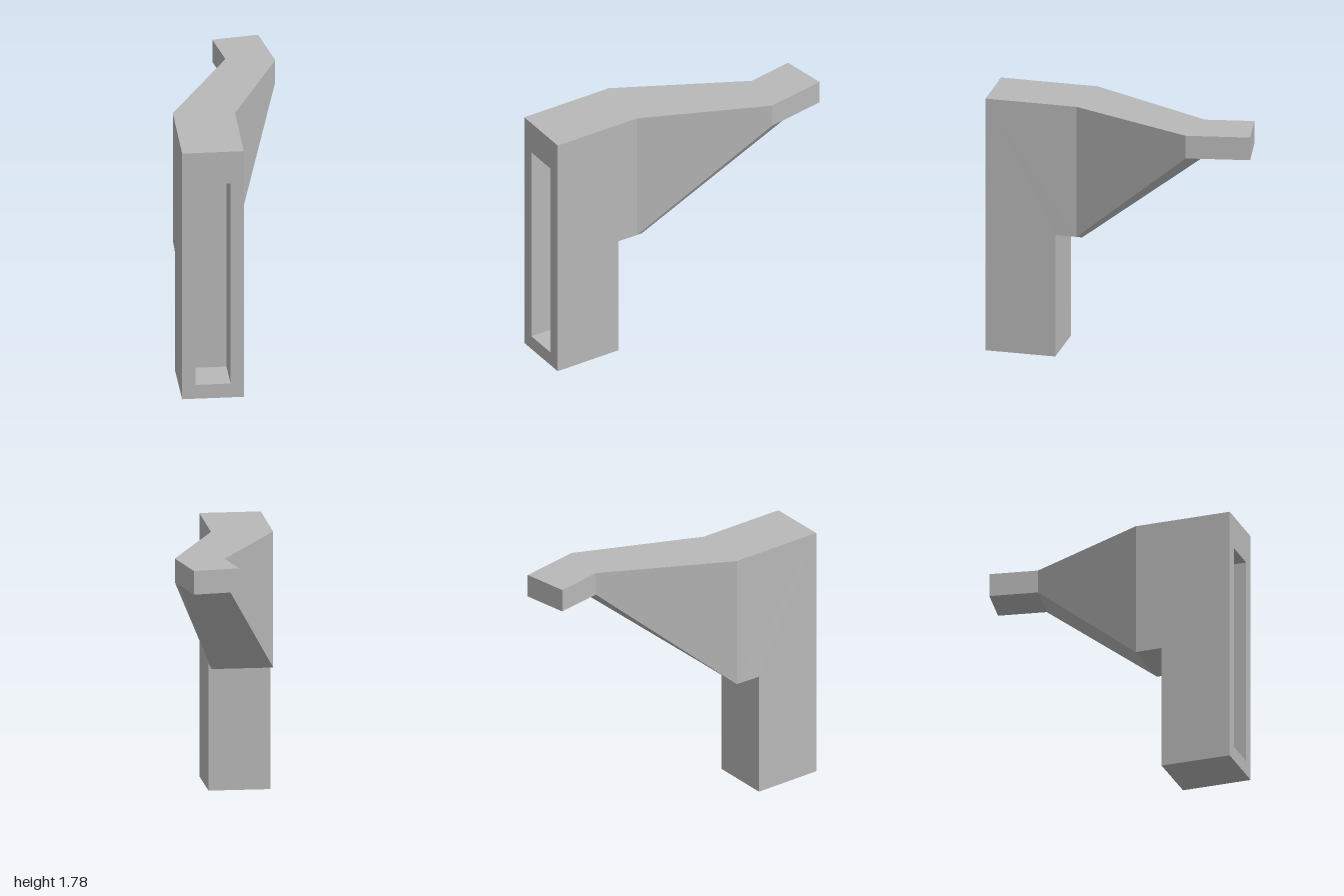
import * as THREE from 'three';

// Flat-faced geometry from convex (or fan-able) polygons, corners anticlockwise from outside
function polygons(faces) {
  const pos = [];
  for (const f of faces)
    for (let i = 1; i < f.length - 1; i++) pos.push(...f[0], ...f[i], ...f[i + 1]);
  const g = new THREE.BufferGeometry();
  g.setAttribute('position', new THREE.Float32BufferAttribute(pos, 3));
  g.computeVertexNormals();
  return g;
}

export function createModel() {
  const group = new THREE.Group();
  const grey = new THREE.MeshStandardMaterial({ color: 0xb8b8b8 });
  grey.name = 'grey';
  const add = (name, faces) => {
    const mesh = new THREE.Mesh(polygons(faces), grey);
    mesh.name = name;
    group.add(mesh);
  };

  // Heights and plan outline [x, z]
  const top = 1.78, armY = 1.62, ledgeY = 0.86;
  const A = [-0.005, 1], B = [0.372, 0.838], C = [0.13, 0.265], D = [0.123, -0.64];
  const E = [-0.11, -1], F = [-0.375, -0.832], G = [-0.197, -0.557], H = [-0.263, 0.39];
  const postRight = [-0.195, 0.56], postLeft = [0.185, 0.4];
  const slopeLow = [0.114, 0.23], slopeHigh = [0.068, -0.725];
  const at = (p, y) => [p[0], y, p[1]];
  const ring = (y, ...pts) => pts.map((p) => at(p, y));

  // Upright post: sides, back and base
  add('post', [
    [at(B, top), at(B, 0), at(postLeft, 0), at(postLeft, ledgeY), at(C, ledgeY), at(C, top)],
    [at(A, top), at(H, top), at(H, ledgeY), at(postRight, ledgeY), at(postRight, 0), at(A, 0)],
    [at(postLeft, ledgeY), at(postLeft, 0), at(postRight, 0), at(postRight, ledgeY)],
    ring(0, postRight, postLeft, B, A),
    ring(top, A, B, C, H),
  ]);

  // Tapering bracket with ledge, sloping underside and twisted sliver beside it
  add('bracket', [
    ring(top, H, C, D, G),
    [at(C, top), at(C, ledgeY), at(D, armY), at(D, top)],
    [at(G, top), at(G, armY), at(H, ledgeY), at(H, top)],
    ring(ledgeY, H, slopeLow, C, postLeft, postRight),
    [at(G, armY), at(slopeHigh, armY), at(slopeLow, ledgeY), at(H, ledgeY)],
    [at(C, ledgeY), at(slopeLow, ledgeY), at(slopeHigh, armY), at(D, armY)],
  ]);

  // Angled arm tip
  add('armTip', [
    ring(top, G, D, E, F),
    ring(armY, F, E, slopeHigh, G),
    [at(D, top), at(D, armY), at(E, armY), at(E, top)],
    [at(E, top), at(E, armY), at(F, armY), at(F, top)],
    [at(F, top), at(F, armY), at(G, armY), at(G, top)],
  ]);

  // Front face with a recessed slot
  const along = (t) => [A[0] + (B[0] - A[0]) * t, A[1] + (B[1] - A[1]) * t];
  const rect = (p, q, y0, y1) => [at(p, y0), at(q, y0), at(q, y1), at(p, y1)];
  const outer = rect(A, B, 0, top);
  const rim = rect(along(0.215), along(0.785), 0.1, 1.55);
  const floor = rim.map(([x, y, z]) => [x - 0.109, y, z - 0.256]);
  const band = (a, b) => a.map((p, i) => [p, a[(i + 1) % 4], b[(i + 1) % 4], b[i]]);
  add('frontFrame', band(outer, rim));
  add('frontSlot', [...band(rim, floor), floor]);

  return group;
}
